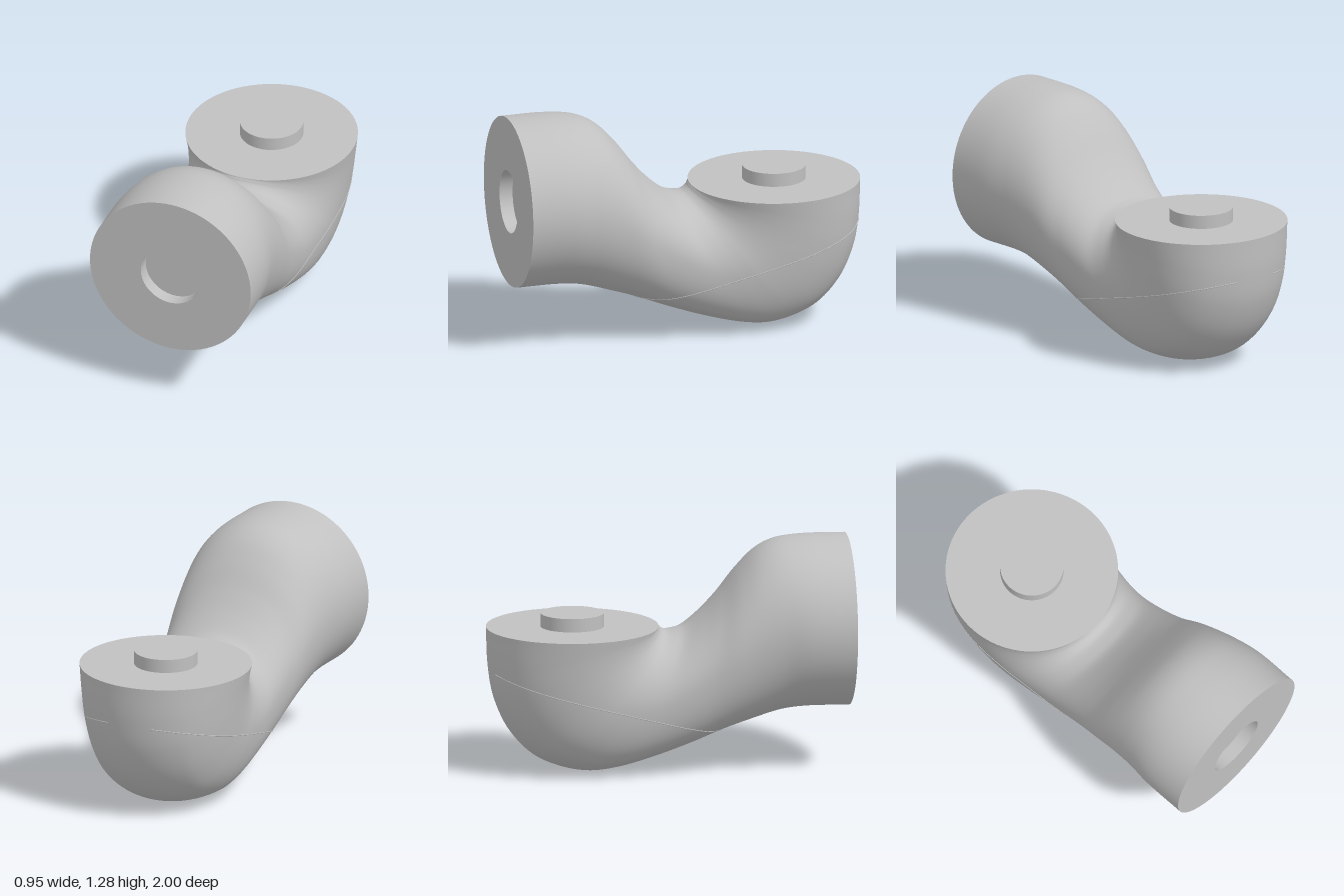
import * as THREE from 'three';

const R = 0.475, AXIS_Y = 0.805, BACK_Z = -0.523, PEG = 0.175, DEPTH = 0.075;
const SEGS = 96, RINGS = 112, CREASE = THREE.MathUtils.degToRad(37.5);

// Each station: inner z, inner y, outer z, outer y, side width factor
const stations = [
  [1, 1.28, 1, 0.33, 1],
  [0.75, 1.28, 0.75, 0.33, 0.995],
  [0.6, 1.26, 0.62, 0.315, 0.95],
  [0.5, 1.21, 0.45, 0.265, 0.91],
  [0.4, 1.11, 0.3, 0.215, 0.88],
  [0.3, 0.98, 0.12, 0.145, 0.835],
  [0.2, 0.87, -0.1, 0.07, 0.82],
  [0.1, 0.79, -0.3, 0.018, 0.825],
  [0.04, 0.772, -0.45, 0.003, 0.845],
  [0, 0.768, -0.6, 0.03, 0.87],
  [-0.02, 0.775, -0.75, 0.1, 0.89],
  [-0.035, 0.785, -0.88, 0.24, 0.915],
  [-0.042, 0.795, -0.96, 0.42, 0.94],
  [-0.046, 0.8, -0.99, 0.6, 0.965],
  [-0.048, 0.805, -0.998, 0.805, 1],
];
const inner = new THREE.CatmullRomCurve3(stations.map((s) => new THREE.Vector3(s[4], s[1], s[0])));
const outer = new THREE.CatmullRomCurve3(stations.map((s) => new THREE.Vector3(0, s[3], s[2])));

// Point on the elbow skin: v runs along the bend, t runs round from the outer edge
function skin(v, t) {
  const a = inner.getPoint(v), b = outer.getPoint(v);
  const angle = Math.abs(t > Math.PI ? t - 2 * Math.PI : t);
  const k = THREE.MathUtils.clamp((angle - CREASE) / (Math.PI / 2 - CREASE), 0, 1);
  const width = 1 - (1 - a.x) * (1 - (1 - k) ** 2);
  const m = (1 + Math.cos(t)) / 2;
  return new THREE.Vector3(
    R * Math.sin(t) * width,
    a.y + (b.y - a.y) * m,
    a.z + (b.z - a.z) * m,
  );
}

function elbowGeometry() {
  const pos = [], index = [];
  for (let i = 0; i <= RINGS; i++) {
    for (let j = 0; j < SEGS; j++) {
      pos.push(...skin(i / RINGS, (j / SEGS) * 2 * Math.PI).toArray());
      if (i === RINGS) continue;
      const n = (j + 1) % SEGS, a = i * SEGS, b = a + SEGS;
      index.push(a + j, b + j, b + n, a + j, b + n, a + n);
    }
  }
  const g = new THREE.BufferGeometry();
  g.setAttribute('position', new THREE.Float32BufferAttribute(pos, 3));
  g.setIndex(index);
  g.computeVertexNormals();
  return g;
}

// Closed line where a sloping plane meets the skin
function seamCurve() {
  const height = (p) => p.y - (0.303 - 0.277 * p.z);
  const side = [];
  for (let i = 0; i <= 200; i++) {
    const v = i / 200;
    if (height(skin(v, 0)) >= 0) continue;
    let lo = 0, hi = Math.PI;
    for (let n = 0; n < 30; n++) {
      const mid = (lo + hi) / 2;
      if (height(skin(v, mid)) < 0) lo = mid; else hi = mid;
    }
    side.push(skin(v, lo));
  }
  const mirrored = side.map((p) => new THREE.Vector3(-p.x, p.y, p.z)).reverse();
  return new THREE.CatmullRomCurve3([...side, ...mirrored], true);
}

export function createModel() {
  const model = new THREE.Group();
  model.name = 'elbowJoint';
  const grey = new THREE.MeshStandardMaterial({ color: 0xc0c0c0, side: THREE.DoubleSide });
  grey.name = 'light grey';
  const add = (name, geometry, x, y, z) => {
    const mesh = new THREE.Mesh(geometry, grey);
    mesh.name = name;
    mesh.position.set(x, y, z);
    model.add(mesh);
    return mesh;
  };

  // Curved body and its parting line
  add('elbowBody', elbowGeometry(), 0, 0, 0);
  add('partingSeam', new THREE.TubeGeometry(seamCurve(), 300, 0.003, 6, true), 0, 0, 0);

  // Front face with a round socket
  add('frontFace', new THREE.RingGeometry(PEG, R, SEGS), 0, AXIS_Y, 1);
  const wall = new THREE.CylinderGeometry(PEG, PEG, DEPTH, 64, 1, true).rotateX(Math.PI / 2);
  add('socketWall', wall, 0, AXIS_Y, 1 - DEPTH / 2);
  add('socketFloor', new THREE.CircleGeometry(PEG, 64), 0, AXIS_Y, 1 - DEPTH);

  // Upper face with a round peg
  add('topFace', new THREE.CircleGeometry(R, SEGS).rotateX(-Math.PI / 2), 0, AXIS_Y, BACK_Z);
  add('peg', new THREE.CylinderGeometry(PEG, PEG, DEPTH, 64), 0, AXIS_Y + DEPTH / 2, BACK_Z);

  return model;
}
